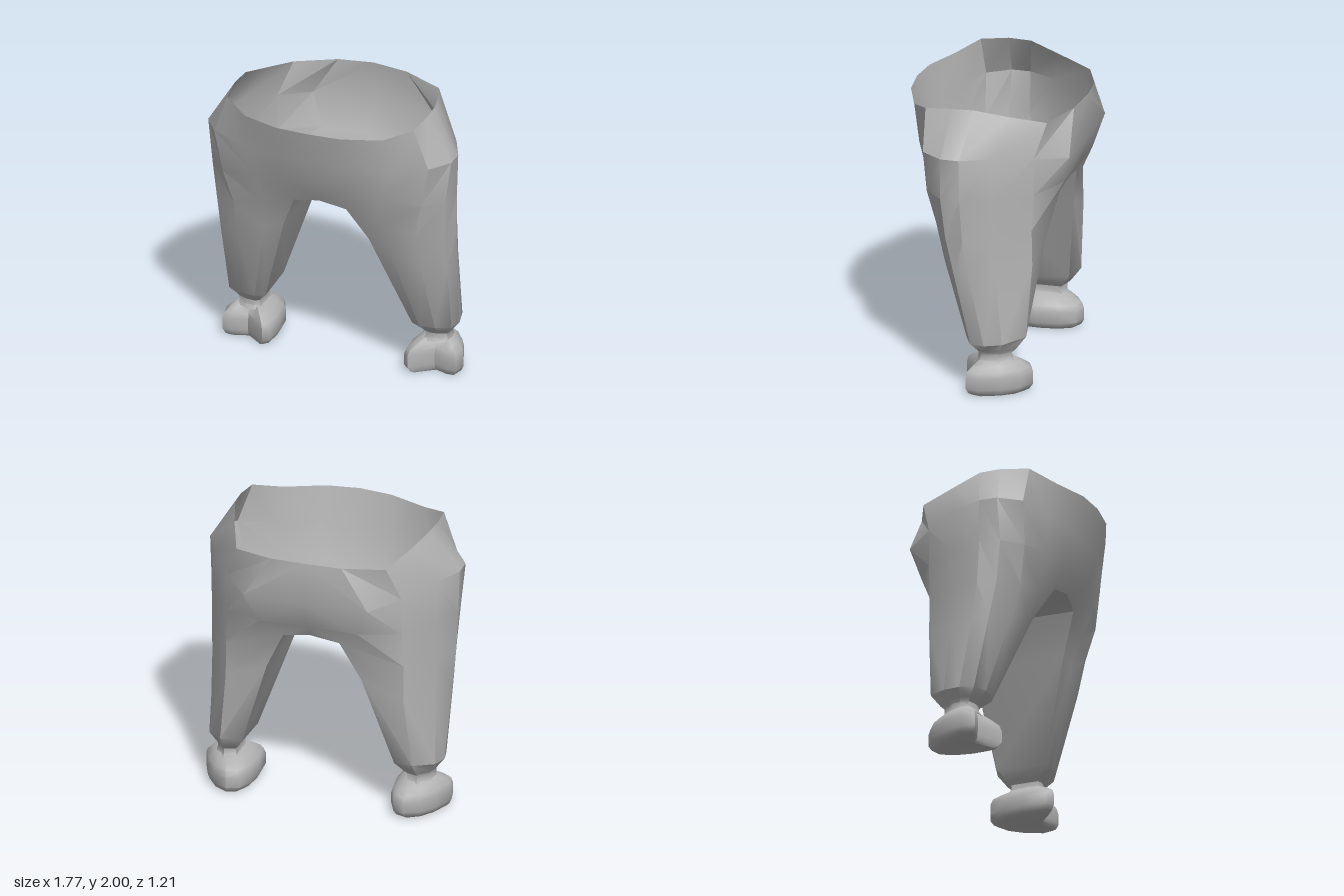
import * as THREE from 'three';
import { toCreasedNormals } from 'three/addons/utils/BufferGeometryUtils.js';

const ANKLE = [0.69, -0.13];

// Adds one quad (corners counter-clockwise from outside) as two triangles
function quad(out, a, b, c, d) {
  out.push(...a, ...b, ...c, ...a, ...c, ...d);
}

// Skins a stack of rings listed from bottom to top
function loft(out, rings, closed) {
  for (let r = 0; r < rings.length - 1; r++) {
    const a = rings[r], b = rings[r + 1], n = a.length;
    for (let i = 0; i < (closed ? n : n - 1); i++) {
      const j = (i + 1) % n;
      quad(out, a[i], a[j], b[j], b[i]);
    }
  }
}

// Flat fan closing a ring
function cap(out, ring, centre, up) {
  ring.forEach((p, i) => {
    const q = ring[(i + 1) % ring.length];
    out.push(...centre, ...(up ? p : q), ...(up ? q : p));
  });
}

// Mirrors triangles in x, keeping them facing outward
function mirrored(tris) {
  const out = [];
  for (let i = 0; i < tris.length; i += 9) {
    for (const k of [0, 6, 3]) out.push(-tris[i + k], tris[i + k + 1], tris[i + k + 2]);
  }
  return out;
}

function makeMesh(name, tris, crease, material) {
  const g = new THREE.BufferGeometry();
  g.setAttribute('position', new THREE.Float32BufferAttribute(tris, 3));
  const mesh = new THREE.Mesh(toCreasedNormals(g, crease), material);
  mesh.name = name;
  return mesh;
}

// Half rings of the hips, front centre -> outer side -> back centre
const waist = [[0, 1.94, 0.6], [0.23, 1.935, 0.58], [0.5, 1.93, 0.48], [0.68, 1.98, 0.35], [0.7, 2, 0.16],
  [0.69, 2, 0], [0.62, 1.95, -0.22], [0.53, 1.9, -0.46], [0.25, 1.92, -0.57], [0, 1.93, -0.595]];
const hip = [[0, 1.68, 0.53], [0.25, 1.68, 0.51], [0.55, 1.68, 0.43], [0.78, 1.7, 0.34], [0.885, 1.7, 0.19],
  [0.885, 1.7, 0.06], [0.79, 1.7, -0.14], [0.62, 1.66, -0.39], [0.44, 1.63, -0.59], [0, 1.63, -0.605]];
const seat = [[0, 1.5, 0.465], [0.22, 1.49, 0.455], [0.45, 1.45, 0.41], [0.72, 1.4, 0.33], [0.85, 1.4, 0.2],
  [0.875, 1.4, 0.06], [0.79, 1.4, -0.15], [0.62, 1.4, -0.39], [0.35, 1.42, -0.53], [0, 1.43, -0.535]];
const crotch = [[0, 1.34, 0.38], [0.19, 1.3, 0.36], [0.42, 1.2, 0.32], [0.66, 1.15, 0.28], [0.83, 1.12, 0.17],
  [0.865, 1.1, 0.04], [0.79, 1.1, -0.15], [0.63, 1.15, -0.38], [0.2, 1.3, -0.46], [0, 1.34, -0.48]];

// Closed rings of the leg, same order without the centre points
const knee = [[0.31, 1.05, 0.25], [0.45, 1, 0.255], [0.67, 0.9, 0.22], [0.825, 0.85, 0.11], [0.85, 0.85, 0],
  [0.79, 0.85, -0.17], [0.63, 0.9, -0.385], [0.335, 1.02, -0.4]];
const cuff = [[0.535, 0.36, 0.03], [0.6, 0.36, 0.06], [0.71, 0.36, 0.05], [0.81, 0.36, 0], [0.83, 0.36, -0.1],
  [0.8, 0.37, -0.22], [0.68, 0.4, -0.355], [0.54, 0.38, -0.31]];

// Plan outline of the foot, with a notch between two front points
const footPlan = [[0.68, -0.02], [0.79, 0.02], [0.85, 0.02], [0.87, -0.07], [0.81, -0.22], [0.73, -0.33],
  [0.63, -0.39], [0.55, -0.36], [0.5, -0.25], [0.48, -0.1], [0.49, 0.06], [0.53, 0.1], [0.59, 0.05]];

// Height and relative size of each foot ring
const footProfile = [[0, 0.8], [0.015, 0.91], [0.05, 1], [0.13, 1], [0.17, 0.94], [0.205, 0.74], [0.235, 0.52]];

function scaleRing(points, s, y) {
  return points.map(([x, z]) => [ANKLE[0] + (x - ANKLE[0]) * s, y, ANKLE[1] + (z - ANKLE[1]) * s]);
}

export function createModel() {
  const group = new THREE.Group();
  const grey = new THREE.MeshStandardMaterial({ color: 0xb2b2b2, side: THREE.DoubleSide });
  grey.name = 'plain grey';

  // Hips, legs and narrow ankles
  const half = [];
  loft(half, [crotch, seat, hip, waist], false);
  quad(half, crotch[1], crotch[0], crotch[9], crotch[8]);
  const cuffPlan = cuff.map(([x, , z]) => [x, z]);
  const ankle = [[0.22, 0.64], [0.245, 0.56], [0.28, 0.56], [0.305, 0.68]].map(([y, s]) => scaleRing(cuffPlan, s, y));
  loft(half, [...ankle, cuff, knee, crotch.slice(1, 9)], true);
  group.add(makeMesh('hipsAndLegs', [...half, ...mirrored(half)], 0.62, grey));

  // Feet
  const foot = [];
  const rings = footProfile.map(([y, s]) => scaleRing(footPlan, s, y));
  loft(foot, rings, true);
  cap(foot, rings[0], [ANKLE[0], 0, ANKLE[1]], false);
  cap(foot, rings[rings.length - 1], [ANKLE[0], 0.235, ANKLE[1]], true);
  group.add(makeMesh('leftFoot', foot, 0.9, grey));
  group.add(makeMesh('rightFoot', mirrored(foot), 0.9, grey));
  return group;
}
